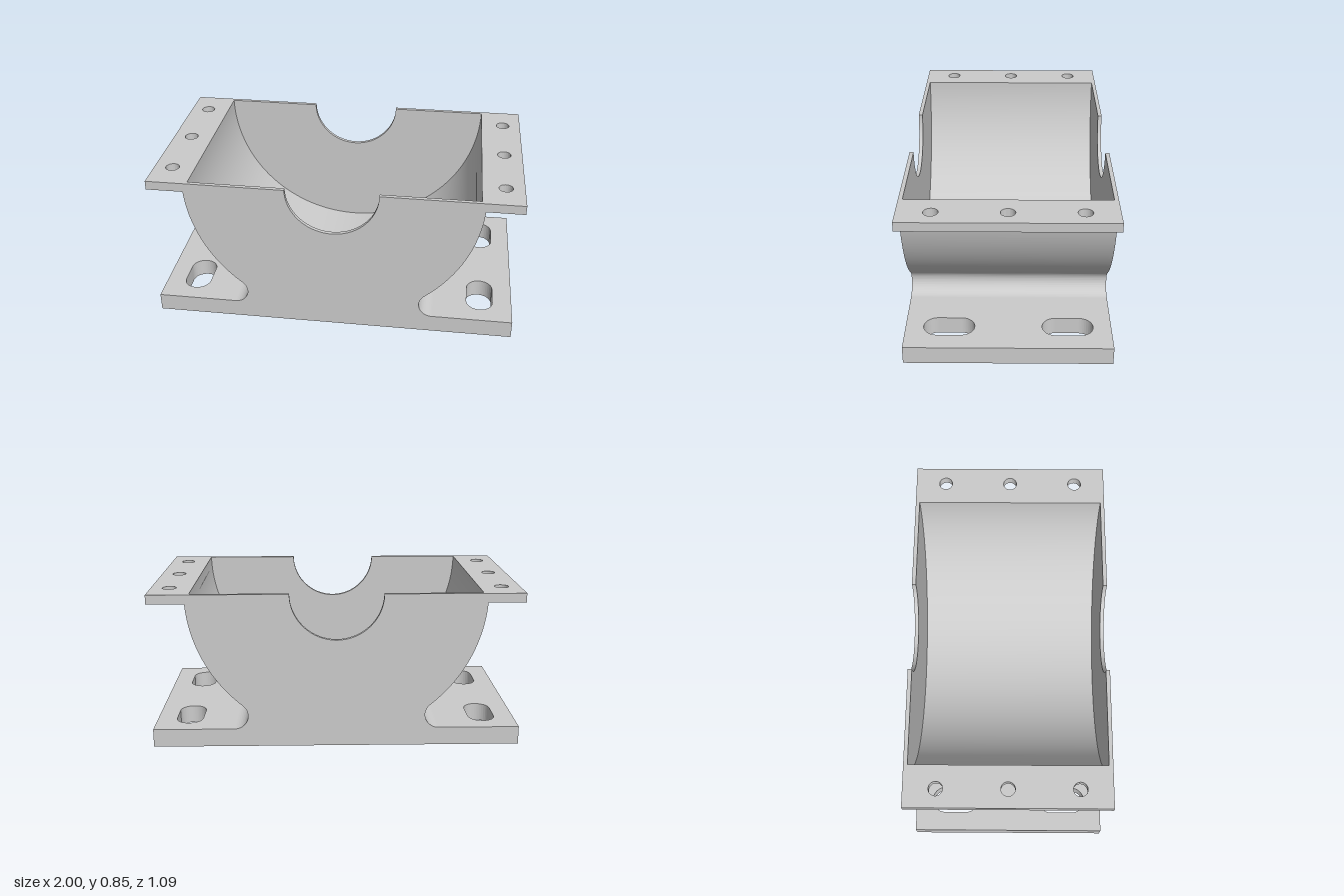
import * as THREE from 'three';
import { toCreasedNormals } from 'three/addons/utils/BufferGeometryUtils.js';

const HALF_Z = 0.547, WALL_Z = 0.525; // outer ends, cavity ends
const TOP = 0.85, FLANGE_Y = 0.8, BASE_Y = 0.1;
const R_OUT = 0.8, R_CAVITY = 0.775, R_NOTCH = 0.25, R_FILLET = 0.075;
// fillet is tangent to both the base top and the outer shell
const FILLET_Y = BASE_Y + R_FILLET;
const FILLET_X = Math.sqrt((R_OUT + R_FILLET) ** 2 - (TOP - FILLET_Y) ** 2);
const FLANGE_X = Math.sqrt(R_OUT ** 2 - (TOP - FLANGE_Y) ** 2);

const material = new THREE.MeshStandardMaterial({ color: 0xcccccc });

function extrude(shape, depth) {
  const geo = new THREE.ExtrudeGeometry(shape, { depth, bevelEnabled: false, curveSegments: 48 });
  return toCreasedNormals(geo, 0.5);
}

function addMesh(parent, name, geo) {
  const mesh = new THREE.Mesh(geo, material);
  mesh.name = name;
  parent.add(mesh);
  return mesh;
}

// cradle cross-section with a round cut of the given radius in its top
function cradleShape(cutRadius) {
  const low = Math.atan2(FILLET_Y - TOP, FILLET_X);
  const high = Math.asin((FLANGE_Y - TOP) / R_OUT);
  const s = new THREE.Shape();
  s.moveTo(FILLET_X, 0);
  s.lineTo(FILLET_X, BASE_Y);
  s.absarc(FILLET_X, FILLET_Y, R_FILLET, -Math.PI / 2, low + Math.PI, true);
  s.absarc(0, TOP, R_OUT, low, high, false);
  s.lineTo(FLANGE_X, TOP);
  s.lineTo(cutRadius, TOP);
  s.absarc(0, TOP, cutRadius, 0, -Math.PI, true);
  s.lineTo(-FLANGE_X, TOP);
  s.absarc(0, TOP, R_OUT, Math.PI - high, Math.PI - low, false);
  s.absarc(-FILLET_X, FILLET_Y, R_FILLET, -low, -Math.PI / 2, true);
  s.lineTo(-FILLET_X, 0);
  s.closePath();
  return s;
}

// flat plate from x0 to the outer edge, full depth
function plateShape(x0) {
  const s = new THREE.Shape();
  s.moveTo(x0, -HALF_Z);
  s.lineTo(1, -HALF_Z);
  s.lineTo(1, HALF_Z);
  s.lineTo(x0, HALF_Z);
  s.closePath();
  return s;
}

// round hole, or a slot when length > 0
function holePath(x, z, r, length = 0) {
  const p = new THREE.Path();
  const h = length / 2;
  p.absarc(x, z + h, r, 0, Math.PI, false);
  p.absarc(x, z - h, r, Math.PI, Math.PI * 2, false);
  p.closePath();
  return p;
}

export function createModel() {
  const model = new THREE.Group();
  model.name = 'bearingCradle';

  // hollow trough and its two notched end walls
  addMesh(model, 'trough', extrude(cradleShape(R_CAVITY), WALL_Z * 2)).position.z = -WALL_Z;
  const wallGeo = extrude(cradleShape(R_NOTCH), HALF_Z - WALL_Z);
  addMesh(model, 'frontEndWall', wallGeo).position.z = WALL_Z;
  addMesh(model, 'backEndWall', wallGeo).position.z = -HALF_Z;

  // base foot with two slots
  const foot = plateShape(FILLET_X);
  for (const z of [-0.315, 0.315]) foot.holes.push(holePath(0.82, z, 0.0735, 0.125));
  const footGeo = extrude(foot, BASE_Y).rotateX(-Math.PI / 2);

  // top flange with three bolt holes
  const flange = plateShape(FLANGE_X);
  for (const z of [-0.375, 0, 0.375]) flange.holes.push(holePath(0.9, z, 0.0375));
  const flangeGeo = extrude(flange, TOP - FLANGE_Y).rotateX(-Math.PI / 2);

  for (const [side, turn] of [['left', 0], ['right', Math.PI]]) {
    addMesh(model, side + 'BaseFoot', footGeo).rotation.y = turn;
    const top = addMesh(model, side + 'TopFlange', flangeGeo);
    top.rotation.y = turn;
    top.position.y = FLANGE_Y;
  }
  return model;
}
